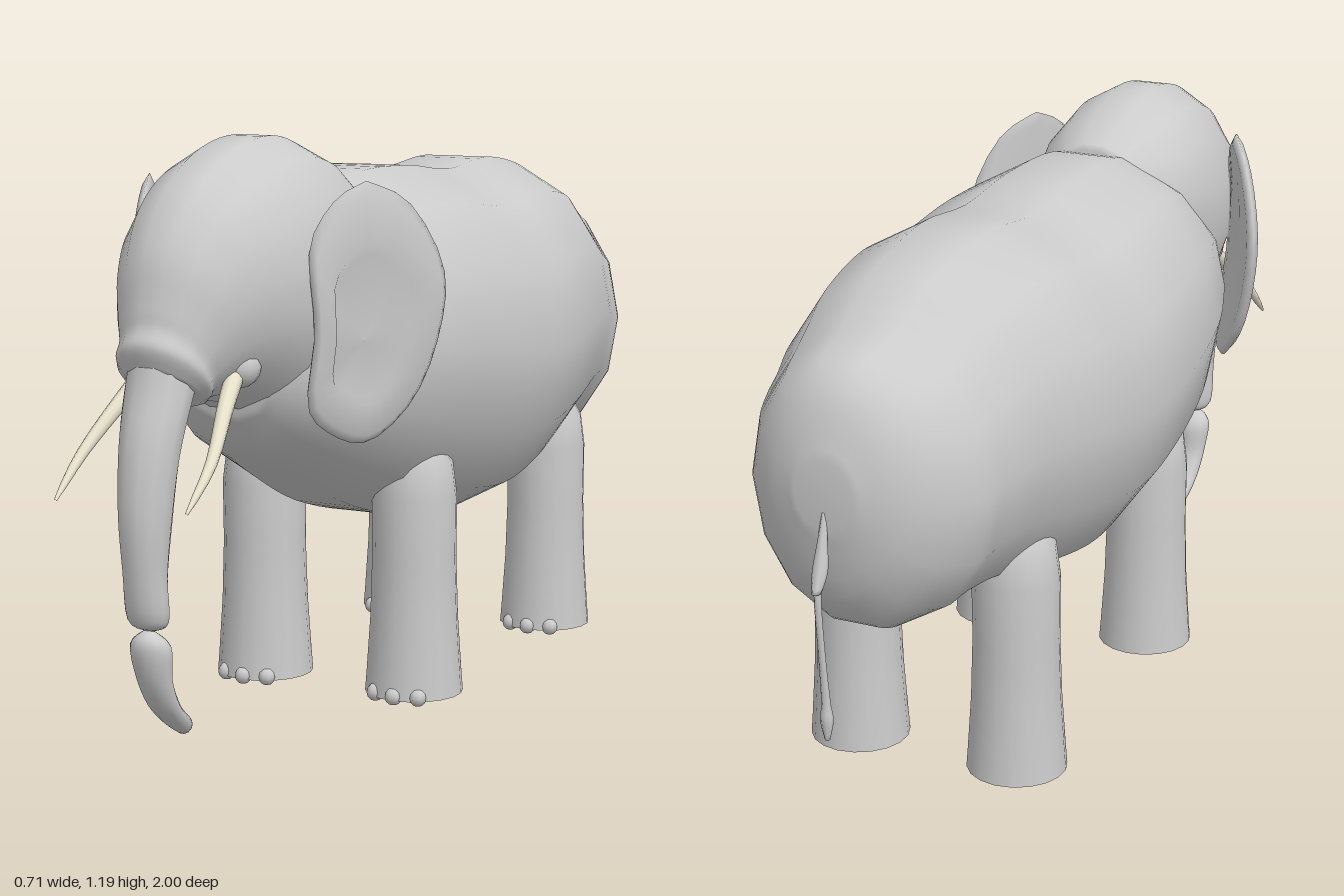
import * as THREE from 'three';

const V2 = (x, y) => new THREE.Vector2(x, y);
const grey = new THREE.MeshStandardMaterial({ color: 0xcccccc });
const ivory = new THREE.MeshStandardMaterial({ color: 0xe8e2cc });

// Closed skin over a list of equal rings; side = -1 mirrors it across x
function skin(rings, side = 1) {
  const n = rings[0].length, pos = [], idx = [];
  for (const r of rings) for (const p of r) pos.push(p.x * side, p.y, p.z);
  for (let i = 0; i < rings.length - 1; i++) {
    for (let j = 0; j < n; j++) {
      const k = (j + 1) % n;
      const a = i * n + j, b = i * n + k, c = a + n, d = b + n;
      if (side > 0) idx.push(a, c, b, b, c, d);
      else idx.push(a, b, c, b, d, c);
    }
  }
  const g = new THREE.BufferGeometry();
  g.setAttribute('position', new THREE.Float32BufferAttribute(pos, 3));
  g.setIndex(idx);
  g.computeVertexNormals();
  return g;
}

// Smooth loft: each section is [z, y of one edge, z, y of the other edge, half width]
function loft(sections, sides, steps) {
  const a = new THREE.SplineCurve(sections.map(s => V2(s[0], s[1])));
  const b = new THREE.SplineCurve(sections.map(s => V2(s[2], s[3])));
  const w = new THREE.SplineCurve(sections.map(s => V2(s[4], 0)));
  const rings = [];
  for (let i = 0; i <= steps; i++) {
    const t = i / steps, A = a.getPoint(t), B = b.getPoint(t), rx = w.getPoint(t).x;
    const ring = [];
    for (let j = 0; j < sides; j++) {
      const th = (j + 0.5) / sides * Math.PI * 2, c = Math.cos(th) / 2;
      ring.push(new THREE.Vector3(rx * Math.sin(th),
        (A.y + B.y) / 2 + (A.y - B.y) * c, (A.x + B.x) / 2 + (A.x - B.x) * c));
    }
    rings.push(ring);
  }
  // close both ends
  const mid = r => {
    const m = r.reduce((s, p) => s.add(p), new THREE.Vector3()).divideScalar(r.length);
    return r.map(() => m);
  };
  return skin([mid(rings[0]), ...rings, mid(rings[steps])]);
}

// Tapered horn along a curve
function horn(points, radius, side) {
  const curve = new THREE.CatmullRomCurve3(points.map(p => new THREE.Vector3(...p)));
  const steps = 10, sides = 10, frames = curve.computeFrenetFrames(steps), rings = [];
  for (let i = 0; i <= steps; i++) {
    const c = curve.getPointAt(i / steps);
    const r = radius * Math.sqrt(1 - 0.98 * i / steps);
    rings.push(Array.from({ length: sides }, (_, j) => {
      const th = -j / sides * Math.PI * 2;
      return c.clone().addScaledVector(frames.normals[i], r * Math.cos(th))
        .addScaledVector(frames.binormals[i], r * Math.sin(th));
    }));
  }
  return skin(rings, side);
}

// Slanted, curved ear leaf with a shallow hollow on its outer face
function ear(side) {
  const outline = new THREE.SplineCurve([[.5, 1.105], [.57, 1.07], [.63, .98], [.62, .82], [.615, .68],
    [.55, .615], [.47, .595], [.4, .67], [.365, .8], [.36, .93], [.42, 1.06], [.5, 1.105]]
    .map(p => V2(...p)));
  const points = outline.getPoints(32).slice(0, 32), centre = V2(.515, .8);
  const layers = [[0, -.006], [.55, -.006], [.62, .008], [.92, .01], [1, 0], [.93, -.012], [.5, -.014], [0, -.014]];
  return skin(layers.map(([s, off]) => points.map(p => {
    const z = centre.x + (p.x - centre.x) * s, y = centre.y + (p.y - centre.y) * s;
    return new THREE.Vector3(.2 + .55 * (.62 - z) - .5 * (y - .9) ** 2 + off, y, z + off * .5);
  })), side);
}

export function createModel() {
  const model = new THREE.Group();
  const add = (name, geometry, material = grey, parent = model) => {
    const mesh = new THREE.Mesh(geometry, material);
    mesh.name = name;
    parent.add(mesh);
    return mesh;
  };

  // Barrel body with rump
  add('body', loft([
    [-.955, .8, -.955, .66, .06], [-.92, .91, -.92, .52, .14], [-.86, .97, -.86, .435, .205],
    [-.76, 1.0, -.78, .4, .25], [-.7, 1.03, -.7, .4, .265], [-.6, 1.075, -.6, .39, .293],
    [-.4, 1.105, -.4, .34, .337], [-.2, 1.09, -.2, .313, .355], [0, 1.11, 0, .335, .348],
    [.22, 1.105, .22, .395, .318], [.4, 1.04, .4, .475, .262], [.55, .94, .55, .56, .2],
    [.625, .82, .625, .65, .11],
  ], 14, 48));

  // Domed head, narrowing to the trunk base
  add('head', loft([
    [.25, 1.1, .25, .9, .11], [.36, 1.155, .34, .76, .18], [.5, 1.192, .47, .66, .205],
    [.65, 1.17, .55, .63, .2], [.78, 1.1, .62, .66, .173], [.86, 1.0, .69, .685, .137],
    [.89, .9, .74, .695, .108], [.9, .855, .765, .695, .096], [.918, .82, .77, .69, .094],
    [.905, .775, .785, .69, .075],
  ], 16, 40));

  // Trunk in two pieces meeting at a pinch
  add('upperTrunk', loft([
    [.9, .82, .77, .74, .068], [.918, .74, .81, .7, .068], [.95, .64, .845, .6, .06],
    [.965, .52, .865, .47, .051], [.958, .41, .876, .38, .044], [.942, .31, .876, .3, .042],
    [.912, .285, .898, .282, .008],
  ], 12, 24));
  add('trunkTip', loft([
    [.912, .288, .898, .284, .008], [.936, .262, .866, .25, .041], [.924, .2, .858, .18, .037],
    [.89, .135, .826, .125, .032], [.84, .085, .79, .096, .026], [.795, .056, .777, .086, .018],
  ], 12, 20));

  // Tail and tuft
  add('tail', loft([
    [-.935, .7, -.955, .7, .006], [-.95, .65, -.97, .645, .009], [-.957, .59, -.987, .59, .015],
    [-.978, .55, -1.0, .55, .009],
  ], 8, 10));
  add('tailTuft', loft([
    [-.963, .6, -.98, .6, .008], [-.978, .54, -.992, .54, .007], [-.97, .42, -.982, .42, .007],
    [-.958, .32, -.975, .32, .009], [-.953, .28, -.977, .28, .013], [-.96, .24, -.97, .24, .005],
  ], 8, 16));

  // Paired ears, tusks and tusk sockets
  for (const side of [1, -1]) {
    const label = side > 0 ? 'left' : 'right';
    add(label + 'Ear', ear(side));
    add(label + 'Tusk', horn([[.085, .79, .7], [.11, .71, .8], [.14, .61, .91], [.142, .535, .998]], .02, side), ivory);
    const socket = add(label + 'TuskSocket', new THREE.SphereGeometry(.04, 12, 8));
    socket.position.set(side * .095, .765, .725);
  }

  // Legs with three toenails each
  const legProfile = [[0, .012], [.103, .012], [.1, .05], [.092, .17], [.088, .3], [.089, .43],
    [.08, .5], [.055, .55], [0, .58]].map(p => V2(...p));
  for (const [pair, z] of [['front', .163], ['back', -.513]]) {
    for (const side of [1, -1]) {
      const leg = new THREE.Group();
      leg.name = pair + (side > 0 ? 'LeftLeg' : 'RightLeg');
      leg.position.set(side * .18, 0, z);
      // sole kept crisp by lathing it apart from the column
      add('column', new THREE.LatheGeometry(legProfile.slice(1), 18), grey, leg);
      add('sole', new THREE.LatheGeometry(legProfile.slice(0, 2), 18), grey, leg);
      for (const a of [-.55, 0, .55]) {
        const toe = add('toenail', new THREE.SphereGeometry(.019, 8, 6), grey, leg);
        toe.position.set(.095 * Math.sin(a), .02, .095 * Math.cos(a));
      }
      model.add(leg);
    }
  }
  return model;
}
